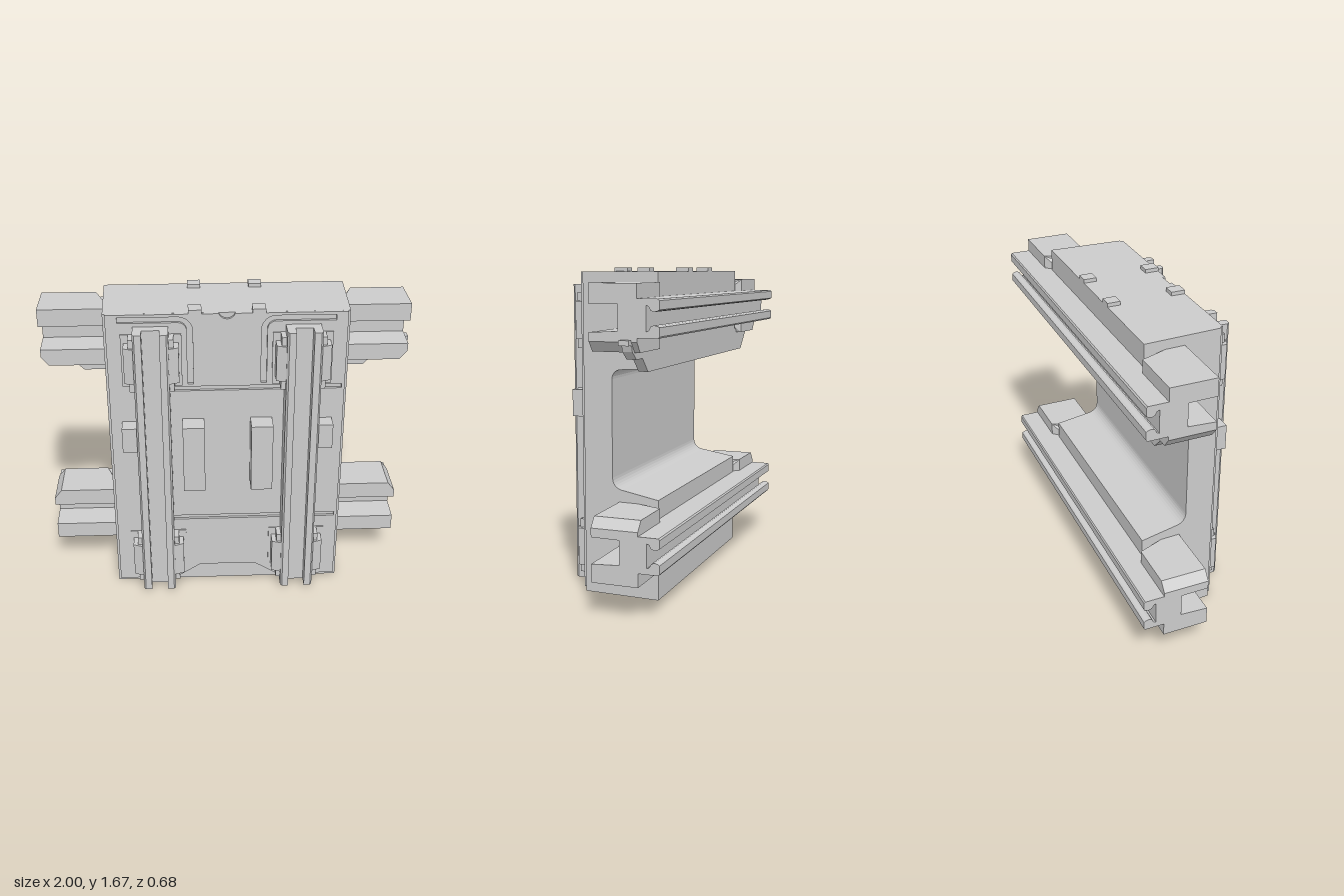
import * as THREE from 'three';

const material = new THREE.MeshStandardMaterial({ color: 0xcccccc, flatShading: true });

function shapeOf(points, Type = THREE.Shape) {
  return new Type(points.map(([a, b]) => new THREE.Vector2(a, b)));
}

// Extrude a [z, y] profile along x from x0 to x1
function extrudeX(profile, x0, x1, steps = 1) {
  const shape = shapeOf(profile.map(([z, y]) => [-z, y]));
  const geo = new THREE.ExtrudeGeometry(shape, { depth: x1 - x0, steps, bevelEnabled: false });
  return geo.rotateY(Math.PI / 2).translate(x0, 0, 0);
}

// Extrude an [x, z] profile along y from y0 to y1
function extrudeY(profile, y0, y1) {
  const shape = shapeOf(profile.map(([x, z]) => [x, -z]));
  const geo = new THREE.ExtrudeGeometry(shape, { depth: y1 - y0, bevelEnabled: false });
  return geo.rotateX(-Math.PI / 2).translate(0, y0, 0);
}

// Extrude an [x, y] outline along z from z0 to z1
function extrudeZ(shape, z0, z1) {
  const geo = new THREE.ExtrudeGeometry(shape, { depth: z1 - z0, bevelEnabled: false });
  return geo.translate(0, 0, z0);
}

function boxGeo(x0, x1, y0, y1, z0, z1) {
  return new THREE.BoxGeometry(x1 - x0, y1 - y0, z1 - z0)
    .translate((x0 + x1) / 2, (y0 + y1) / 2, (z0 + z1) / 2);
}

// Points on an arc, angles in degrees
function arc(cx, cy, r, a0, a1, n = 6) {
  return Array.from({ length: n + 1 }, (_, i) => {
    const a = THREE.MathUtils.degToRad(a0 + (a1 - a0) * i / n);
    return [cx + r * Math.cos(a), cy + r * Math.sin(a)];
  });
}

export function createModel() {
  const model = new THREE.Group();
  const frame = new THREE.Group();
  frame.name = 'frame';
  frame.position.x = -0.0175;
  model.add(frame);

  const add = (name, geo) => {
    geo.computeVertexNormals();
    const mesh = new THREE.Mesh(geo, material);
    mesh.name = name;
    frame.add(mesh);
    return mesh;
  };

  // Housing: C-shaped side profile, narrowing slightly towards the front
  const body = extrudeX([
    [0.21, 0], [0.21, 1.655], [-0.2, 1.655], [-0.2, 1.18],
    ...arc(0.003, 1.12, 0.05, 90, 0),
    ...arc(-0.007, 0.615, 0.06, 0, -80),
    [-0.2, 0.52], [-0.2, 0],
  ], -1, 1);
  const pos = body.attributes.position;
  for (let i = 0; i < pos.count; i++) {
    const half = 0.6425 - 0.015 * (pos.getZ(i) + 0.2) / 0.41;
    pos.setX(i, pos.getX(i) * half);
  }
  add('housing', body);

  // Front panel with engraved grooves, a top nick and a bottom recess
  const panel = shapeOf([
    [-0.615, 0.02], [-0.29, 0.02], [-0.155, 0.105], [0.155, 0.105], [0.29, 0.02],
    [0.615, 0.02], [0.615, 1.655], ...arc(0, 1.67, 0.045, -20, -160), [-0.615, 1.655],
  ]);
  for (const [y0, y1] of [[1.225, 1.25], [0.42, 0.445]])
    panel.holes.push(shapeOf([[-0.3, y0], [0.6, y0], [0.6, y1], [-0.3, y1]], THREE.Path));
  for (const s of [-1, 1]) {
    const groove = [
      [0.175, 1.265], ...arc(0.25, 1.565, 0.075, 180, 90), [0.555, 1.64],
      [0.555, 1.61], ...arc(0.25, 1.565, 0.045, 90, 180), [0.205, 1.265],
    ];
    panel.holes.push(shapeOf(groove.map(([x, y]) => [s * x, y]), THREE.Path));
  }
  add('frontPanel', extrudeZ(panel, 0.208, 0.225));

  // Horizontal slotted rails on the back, with channel-shaped end blocks
  const half = 0.9825;
  for (const [level, c, chamferSide] of [['upper', 1.445, -1], ['lower', 0.333, 1]]) {
    const top = [
      [-0.19, 0.09], [-0.332, 0.09], [-0.338, 0.082], [-0.338, 0.04], [-0.328, 0.034],
      [-0.312, 0.03], [-0.295, 0.036], [-0.285, 0.055], [-0.273, 0.06],
    ];
    const rail = [...top, ...top.map(([z, y]) => [z, -y]).reverse()];
    add(level + 'BackRail', extrudeX(rail.map(([z, y]) => [z, c + y]), -half, half));

    const channel = [
      [-0.228, 0.16], [0.015, 0.16], [0.015, 0.065], [-0.132, 0.063],
      [-0.132, -0.06], [0.015, -0.068], [0.015, -0.16], [-0.228, -0.16],
    ].map(([z, y]) => [z, c + y]);
    for (const s of [-1, 1]) {
      const x0 = s > 0 ? 0.6 : -half, x1 = s > 0 ? half : -0.6;
      const geo = extrudeX(channel, x0, x1, 2);
      const p = geo.attributes.position;
      for (let i = 0; i < p.count; i++) {
        const x = Math.abs(p.getX(i));
        if (x > half - 0.001) {
          // cut the outer corner of one flange
          if ((p.getY(i) - c) * chamferSide > 0.15) p.setY(i, c + chamferSide * 0.11);
        } else if (x > 0.7) p.setX(i, s * (half - 0.04));
        else if (p.getZ(i) < -0.2) p.setX(i, s * 0.69);
      }
      add(level + (s > 0 ? 'Left' : 'Right') + 'EndBlock', geo);
    }
  }

  // Brackets below the upper rail, and the locking tab
  add('rightBracket', extrudeZ(shapeOf([
    [-0.6, 1.18], [-0.775, 1.18], [-0.88, 1.285], [-0.88, 1.31], [-0.6, 1.31],
  ]), -0.2, -0.15));
  add('leftBracket', extrudeZ(shapeOf([
    [0.6, 1.18], [0.775, 1.18], [0.845, 1.25], [0.92, 1.25], [0.97, 1.29], [0.98, 1.32],
    [1.0175, 1.32], [1.0175, 1.345], [0.93, 1.345], [0.6, 1.31],
  ]), -0.2, -0.15));

  for (const s of [-1, 1]) {
    const side = s > 0 ? 'left' : 'right';
    const cx = s * 0.3875;

    // Vertical front rail with a grooved face
    const rail = [
      [-0.09, 0.222], [-0.09, 0.325], [-0.08, 0.338], [-0.045, 0.338], [-0.045, 0.275],
      [0.045, 0.275], [0.045, 0.338], [0.08, 0.338], [0.09, 0.325], [0.09, 0.222],
    ];
    add(side + 'FrontRail', extrudeY(rail.map(([x, z]) => [cx + x, z]), 0.02, 1.59));

    // Stepped clips holding the rail at both ends
    const clip = [
      [-0.14, 0.22], [-0.14, 0.3], [-0.09, 0.318], [0.09, 0.318], [0.14, 0.3], [0.14, 0.22],
    ].map(([x, z]) => [cx + (x > 0.045 || x < -0.045 ? x : 0), z]);
    const sides = [clip.slice(0, 3), clip.slice(3)];
    for (const [y0, y1, step0, step1] of [[0.06, 0.35, 0.105, 0.305], [1.26, 1.55, 1.31, 1.505]]) {
      for (const pts of sides) {
        const inner = cx + Math.sign(pts[1][0] - cx) * 0.085;
        add(side + 'RailClip', extrudeY([...pts, [inner, 0.22]], step0, step1));
        const outer = cx + Math.sign(pts[1][0] - cx) * 0.115;
        add(side + 'ClipStep', boxGeo(Math.min(inner, outer), Math.max(inner, outer), y0, y1, 0.22, 0.3));
      }
      add(side + 'ClipBase', boxGeo(cx - 0.155, cx + 0.155, y0, y1, 0.22, 0.232));
    }

    // Raised pads on the front, and a stop beside each rail
    const mid = s * 0.18;
    add(side + 'Pad', boxGeo(mid - 0.0575, mid + 0.0575, 0.675, 1.06, 0.22, 0.335));
    const stop = s * 0.515;
    add(side + 'Stop', boxGeo(stop - 0.04, stop + 0.04, 0.91, 1.05, 0.22, 0.31));

    // Nubs on the top face
    const nub = s * 0.1625;
    add(side + 'RearNub', boxGeo(nub - 0.034, nub + 0.034, 1.64, 1.675, -0.2, -0.13));
    add(side + 'FrontNub', boxGeo(nub - 0.034, nub + 0.034, 1.64, 1.675, 0.15, 0.225));
  }

  return model;
}
